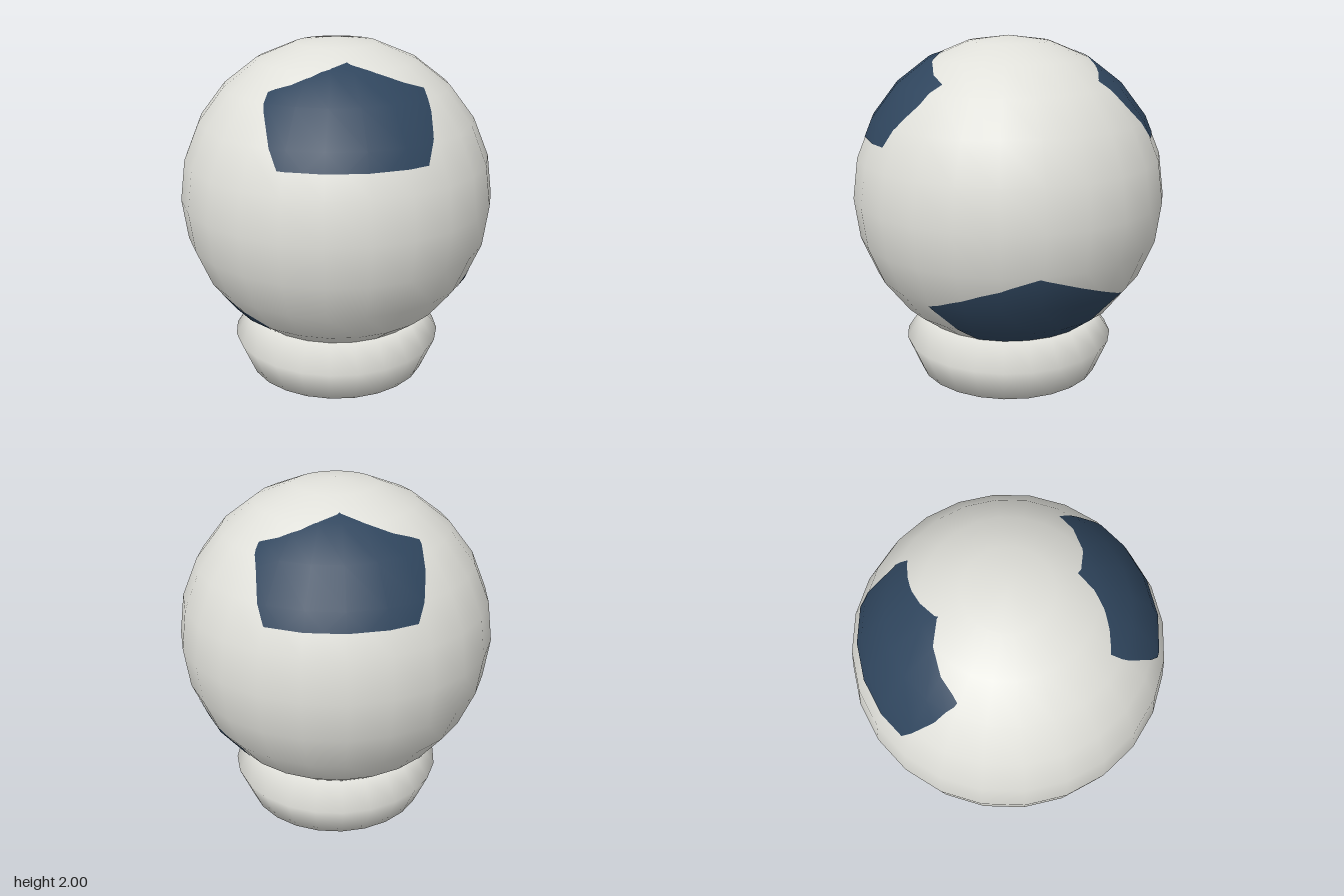
import * as THREE from 'three';

const RADIUS = 0.91;
const CENTRE_Y = 1.09;

// Cut a convex polygon by one edge a-b; points are [lon, lat, x, y, z]
function clipByEdge(points, a, b) {
  const side = (p) => (b[0] - a[0]) * (p[1] - a[1]) - (b[1] - a[1]) * (p[0] - a[0]);
  const out = [];
  points.forEach((p, i) => {
    const q = points[(i + 1) % points.length];
    const sp = side(p);
    const sq = side(q);
    if (sp >= 0) out.push(p);
    if ((sp >= 0) !== (sq >= 0)) {
      const t = sp / (sp - sq);
      out.push(p.map((v, k) => v + (q[k] - v) * t));
    }
  });
  return out;
}

// Pentagon panel in longitude / latitude that follows the facets of the ball
function panelGeometry(ball, lon, lat) {
  const corners = [];
  for (let i = 0; i < 5; i++) {
    const a = Math.PI / 2 + (i * 2 * Math.PI) / 5;
    corners.push([lon + 47.4 * Math.cos(a), lat + 23.6 * Math.sin(a)]);
  }
  const { position, uv } = ball.attributes;
  const index = ball.index;
  const positions = [];
  const normals = [];
  const lift = 1.003;
  for (let f = 0; f < index.count; f += 3) {
    for (const turn of [-360, 0, 360]) {
      let poly = [0, 1, 2].map((k) => {
        const i = index.getX(f + k);
        return [uv.getX(i) * 360 - 90 + turn, uv.getY(i) * 180 - 90,
          position.getX(i), position.getY(i), position.getZ(i)];
      });
      corners.forEach((c, i) => { poly = clipByEdge(poly, c, corners[(i + 1) % 5]); });
      for (let k = 1; k + 1 < poly.length; k++) {
        for (const p of [poly[0], poly[k], poly[k + 1]]) {
          const v = new THREE.Vector3(p[2], p[3], p[4]);
          positions.push(v.x * lift, v.y * lift, v.z * lift);
          normals.push(...v.normalize().toArray());
        }
      }
    }
  }
  const geometry = new THREE.BufferGeometry();
  geometry.setAttribute('position', new THREE.Float32BufferAttribute(positions, 3));
  geometry.setAttribute('normal', new THREE.Float32BufferAttribute(normals, 3));
  return geometry;
}

export function createModel() {
  const offWhite = new THREE.MeshStandardMaterial({ color: 0xe0e0da });
  offWhite.name = 'offWhite';
  const navy = new THREE.MeshStandardMaterial({ color: 0x2f455d });
  navy.name = 'navy';

  const model = new THREE.Group();
  model.name = 'ballOnStand';
  const add = (name, geometry, material, y) => {
    const mesh = new THREE.Mesh(geometry, material);
    mesh.name = name;
    mesh.position.y = y;
    model.add(mesh);
  };

  // Ball
  const ball = new THREE.SphereGeometry(RADIUS, 24, 12);
  add('ball', ball, offWhite, CENTRE_Y);

  // Pentagon panels: two high at front and back, two low at the sides
  const panels = [
    ['frontPanel', -4.7, 42.4],
    ['backPanel', 178.3, 42.4],
    ['leftPanel', 88.6, -39.4],
    ['rightPanel', -91.5, -51],
  ];
  for (const [name, lon, lat] of panels) {
    add(name, panelGeometry(ball, lon, lat), navy, CENTRE_Y);
  }

  // Stand: closed ring with a bulging side
  const profile = [[0, 0], [0.54, 0], [0.625, 0.2], [0.525, 0.35], [0, 0.35]]
    .map(([x, y]) => new THREE.Vector2(x, y));
  add('stand', new THREE.LatheGeometry(profile, 24), offWhite, 0);

  return model;
}
